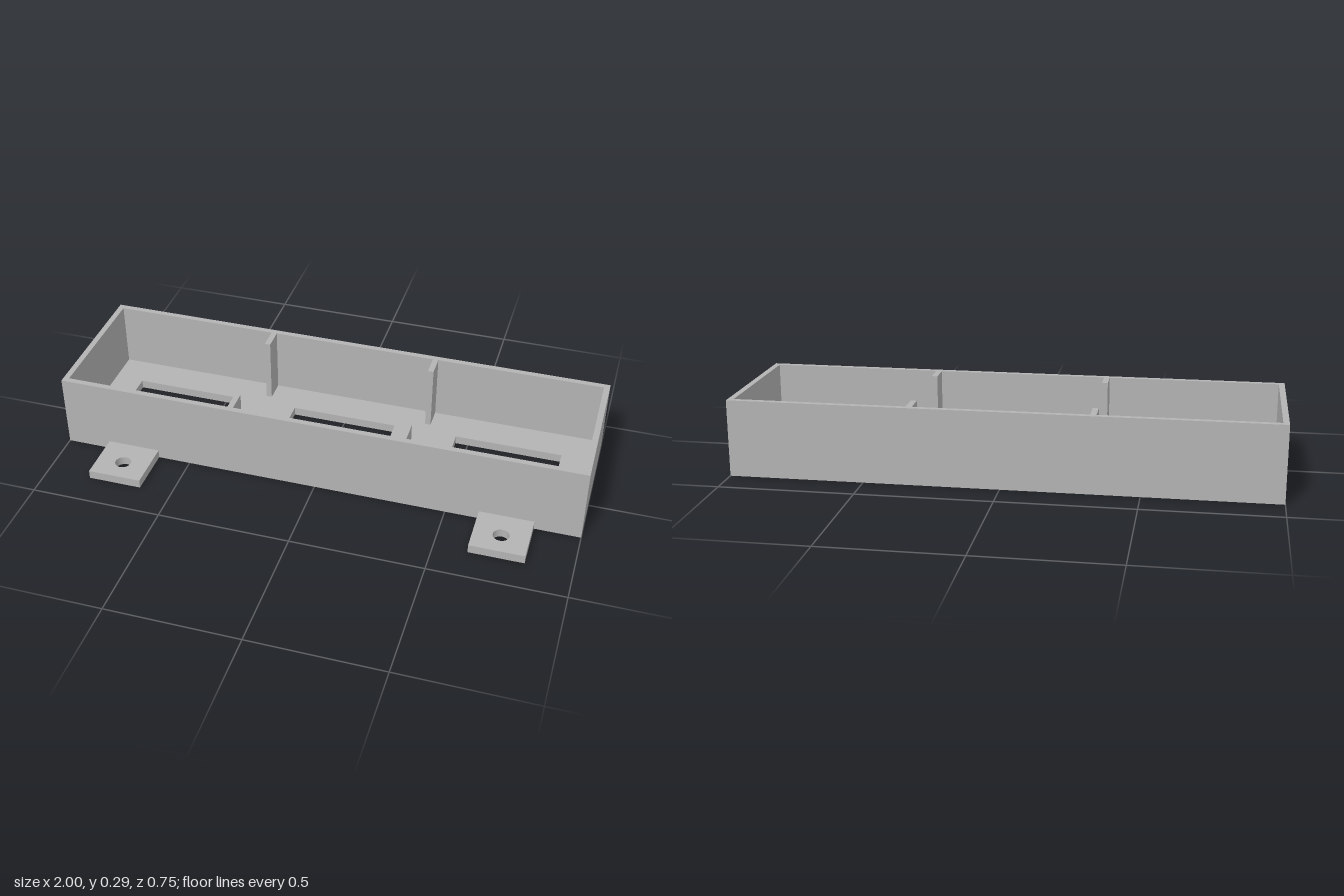
import * as THREE from 'three';

const H = 0.287, FLOOR = 0.033;          // tray height, floor thickness
const BACK = -0.375, FRONT = 0.185;      // tray extent in z
const WALL = 0.022, RIB = 0.022, RIB_DEPTH = 0.085;

// Closed outline from [x, z] points, for a plan extruded upwards
const trace = (path, pts) => {
  pts.forEach(([x, z], i) => (i ? path.lineTo(x, -z) : path.moveTo(x, -z)));
  path.closePath();
  return path;
};
const rect = (path, x0, x1, z0, z1) => trace(path, [[x0, z0], [x0, z1], [x1, z1], [x1, z0]]);

export function createModel() {
  const group = new THREE.Group();
  const grey = new THREE.MeshStandardMaterial({ color: 0xb3b3b3 });
  grey.name = 'grey plastic';

  const addPlan = (name, shape, y, height) => {
    const geo = new THREE.ExtrudeGeometry(shape, { depth: height, bevelEnabled: false, curveSegments: 24 });
    geo.rotateX(-Math.PI / 2).translate(0, y, 0);
    const mesh = new THREE.Mesh(geo, grey);
    mesh.name = name;
    group.add(mesh);
  };

  // Floor with three rectangular windows
  const floor = rect(new THREE.Shape(), -1, 1, BACK, FRONT);
  for (const x of [-0.658, 0, 0.658]) {
    floor.holes.push(rect(new THREE.Path(), x - 0.206, x + 0.206, -0.225, 0.028));
  }
  addPlan('floor', floor, 0, FLOOR);

  // Walls, with short divider ribs notched into the inner outline
  const walls = rect(new THREE.Shape(), -1, 1, BACK, FRONT);
  const xi = 1 - WALL, zb = BACK + WALL, zf = FRONT - WALL;
  const inner = [];
  const side = (z, dir) => {
    inner.push([-dir * xi, z]);
    for (const c of [-0.329 * dir, 0.329 * dir]) {
      const a = c - dir * RIB / 2, b = c + dir * RIB / 2, tip = z + dir * (RIB_DEPTH - 0.002);
      inner.push([a, z], [a, tip], [b, tip], [b, z]);
    }
    inner.push([dir * xi, z]);
  };
  side(zb, 1);
  side(zf, -1);
  walls.holes.push(trace(new THREE.Path(), inner));
  addPlan('wallsAndRibs', walls, FLOOR, H - FLOOR);

  // Mounting tabs with screw holes
  for (const [name, x] of [['leftTab', 0.727], ['rightTab', -0.727]]) {
    const tab = rect(new THREE.Shape(), x - 0.102, x + 0.102, FRONT, 0.375);
    tab.holes.push(new THREE.Path().absarc(x, -0.29, 0.03, 0, Math.PI * 2, true));
    addPlan(name, tab, 0, FLOOR);
  }
  return group;
}
